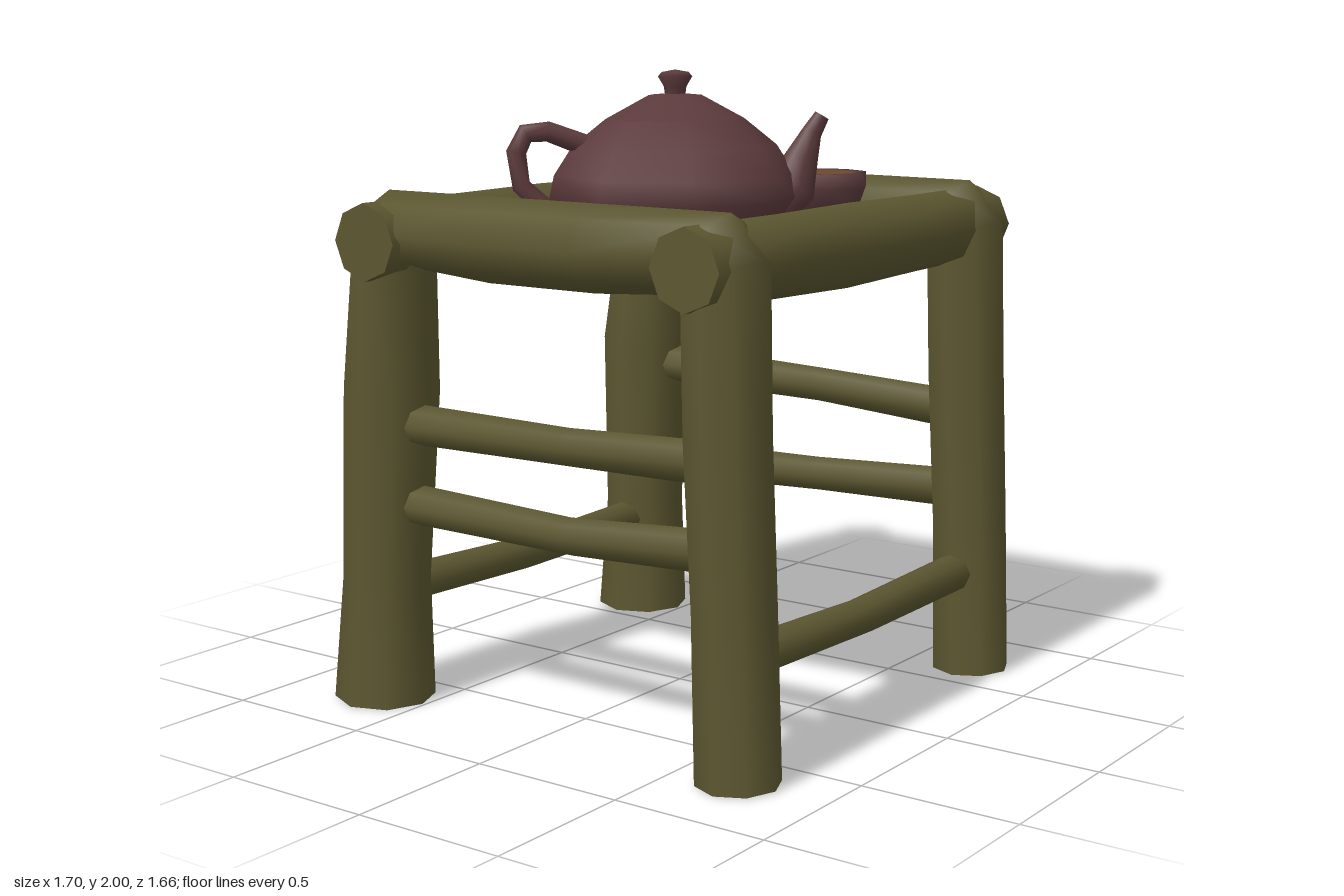
import * as THREE from 'three';

const wood = new THREE.MeshStandardMaterial({ color: 0x5b5630 });
wood.name = 'olive bamboo';
const clay = new THREE.MeshStandardMaterial({ color: 0x5c3a3c });
clay.name = 'purple clay';
const tea = new THREE.MeshStandardMaterial({ color: 0x6b4a2c });
tea.name = 'tea brown';

// Capped pole swept through points [x, y, z, radius]; ref is the side direction of every ring
function pole(points, ref, sides = 8) {
  const pos = [], idx = [];
  const centres = points.map(p => new THREE.Vector3(p[0], p[1], p[2]));
  const last = points.length - 1;
  const addRing = i => {
    const t = new THREE.Vector3();
    if (i > 0) t.add(centres[i].clone().sub(centres[i - 1]).normalize());
    if (i < last) t.add(centres[i + 1].clone().sub(centres[i]).normalize());
    t.normalize();
    const u = ref.clone().addScaledVector(t, -ref.dot(t)).normalize();
    const v = t.clone().cross(u);
    const start = pos.length / 3;
    for (let k = 0; k < sides; k++) {
      const a = (k / sides) * Math.PI * 2;
      const p = centres[i].clone()
        .addScaledVector(u, Math.cos(a) * points[i][3])
        .addScaledVector(v, Math.sin(a) * points[i][3]);
      pos.push(p.x, Math.max(0, p.y), p.z);
    }
    return start;
  };
  for (let i = 0; i <= last; i++) addRing(i);
  for (let i = 0; i < last; i++) {
    for (let k = 0; k < sides; k++) {
      const a = i * sides + k, b = i * sides + (k + 1) % sides;
      idx.push(a, b, a + sides, b, b + sides, a + sides);
    }
  }
  // End caps keep their own vertices so the rims stay sharp
  const s = addRing(0), e = addRing(last);
  for (let k = 1; k < sides - 1; k++) idx.push(s, s + k + 1, s + k, e, e + k, e + k + 1);
  const g = new THREE.BufferGeometry();
  g.setAttribute('position', new THREE.Float32BufferAttribute(pos, 3));
  g.setIndex(idx);
  g.computeVertexNormals();
  return g;
}

function add(parent, name, geometry, material, x = 0, y = 0, z = 0) {
  const m = new THREE.Mesh(geometry, material);
  m.name = name;
  m.position.set(x, y, z);
  parent.add(m);
  return m;
}

const lathe = pts => new THREE.LatheGeometry(pts.map(p => new THREE.Vector2(p[0], p[1])), 8);

const X = new THREE.Vector3(1, 0, 0), Y = new THREE.Vector3(0, 1, 0);

function createStool() {
  const stool = new THREE.Group();
  stool.name = 'stool';

  for (const s of [1, -1]) {
    const side = s > 0 ? 'left' : 'right';
    // One bent pole makes the front leg, side rail and back leg
    add(stool, side + 'LegFrame', pole([
      [s * 0.69, 0, 0.705, 0.128],
      [s * 0.69, 0.5, 0.69, 0.125],
      [s * 0.69, 1.0, 0.665, 0.128],
      [s * 0.685, 1.455, 0.652, 0.132],
      [s * 0.683, 1.51, 0.61, 0.132],
      [s * 0.69, 1.50, 0.2, 0.13],
      [s * 0.69, 1.50, -0.2, 0.13],
      [s * 0.68, 1.51, -0.555, 0.132],
      [s * 0.68, 1.455, -0.595, 0.132],
      [s * 0.665, 1.0, -0.635, 0.15],
      [s * 0.685, 0.4, -0.655, 0.138],
      [s * 0.69, 0, -0.67, 0.16],
    ], X), wood);

    // Side rungs, each a little crooked
    const rungs = s > 0
      ? [[0.87, 0.90, 0.92], [0.605, 0.585, 0.567]]
      : [[0.92, 0.905, 0.90], [0.665, 0.635, 0.645]];
    rungs.forEach(([a, b, c], i) => add(stool, side + (i ? 'LowerRung' : 'UpperRung'), pole([
      [s * 0.685, a, 0.64, 0.066],
      [s * 0.685, b, 0.1, 0.058],
      [s * 0.67, c, -0.6, 0.066],
    ], X), wood));
  }

  // Cross rails poke out past the corners; low rungs join the legs below them
  for (const [name, z, bow, zr] of [['front', 0.615, 0.01, 0.69], ['back', -0.58, 0.0, -0.655]]) {
    add(stool, name + 'Rail', pole([
      [-0.832, 1.48, z, 0.12],
      [-0.4, 1.478, z + bow, 0.122],
      [0, 1.475, z + bow, 0.129],
      [0.4, 1.478, z + bow, 0.122],
      [0.828, 1.48, z, 0.12],
    ], Y), wood);
    add(stool, name + 'Rung', pole([
      [-0.64, 0.355, zr, 0.063],
      [0, 0.332, zr, 0.058],
      [0.64, 0.345, zr, 0.063],
    ], Y), wood);
  }

  add(stool, 'seat', new THREE.BoxGeometry(1.3, 0.015, 1.2), wood, 0, 1.515, 0.02);
  return stool;
}

function createTeapot() {
  const pot = new THREE.Group();
  pot.name = 'teapot';
  add(pot, 'body', lathe([
    [0, 0], [0.25, 0], [0.33, 0.05], [0.38, 0.12], [0.365, 0.19], [0.31, 0.275], [0.21, 0.355],
  ]), clay);
  add(pot, 'lid', lathe([[0.21, 0.355], [0.08, 0.425], [0, 0.432]]), clay);
  add(pot, 'knob', lathe([[0.03, 0.42], [0.034, 0.45], [0.052, 0.48], [0.04, 0.493], [0, 0.5]]), clay);
  add(pot, 'base', new THREE.CylinderGeometry(0.24, 0.24, 0.006, 8), tea, 0, -0.002, 0);
  const along = new THREE.Vector3(1, 0, -1);
  add(pot, 'spout', pole([
    [0.21, 0.1, 0.2, 0.08],
    [0.265, 0.15, 0.25, 0.078],
    [0.285, 0.24, 0.27, 0.05],
    [0.305, 0.31, 0.29, 0.031],
    [0.325, 0.36, 0.312, 0.024],
  ], along), clay);
  add(pot, 'handle', pole([
    [-0.2, 0.28, -0.19, 0.032],
    [-0.275, 0.32, -0.265, 0.03],
    [-0.325, 0.315, -0.31, 0.03],
    [-0.345, 0.26, -0.33, 0.03],
    [-0.335, 0.16, -0.32, 0.028],
    [-0.27, 0.08, -0.26, 0.028],
  ], along), clay);
  pot.position.set(-0.3, 1.5, 0.2);
  return pot;
}

function createCup(x, z) {
  const cup = new THREE.Group();
  cup.name = 'cup';
  add(cup, 'bowl', lathe([
    [0, 0], [0.08, 0], [0.125, 0.05], [0.146, 0.11], [0.146, 0.158], [0.116, 0.158], [0.112, 0.14],
  ]), clay);
  add(cup, 'teaSurface', new THREE.CylinderGeometry(0.116, 0.116, 0.006, 8), tea, 0, 0.152, 0);
  add(cup, 'foot', new THREE.CylinderGeometry(0.078, 0.078, 0.006, 8), tea, 0, -0.002, 0);
  cup.position.set(x, 1.502, z);
  return cup;
}

export function createModel() {
  const model = new THREE.Group();
  model.name = 'stoolWithTeaSet';
  model.add(createStool(), createTeapot(), createCup(0.095, -0.27), createCup(0.365, 0.3));
  return model;
}
